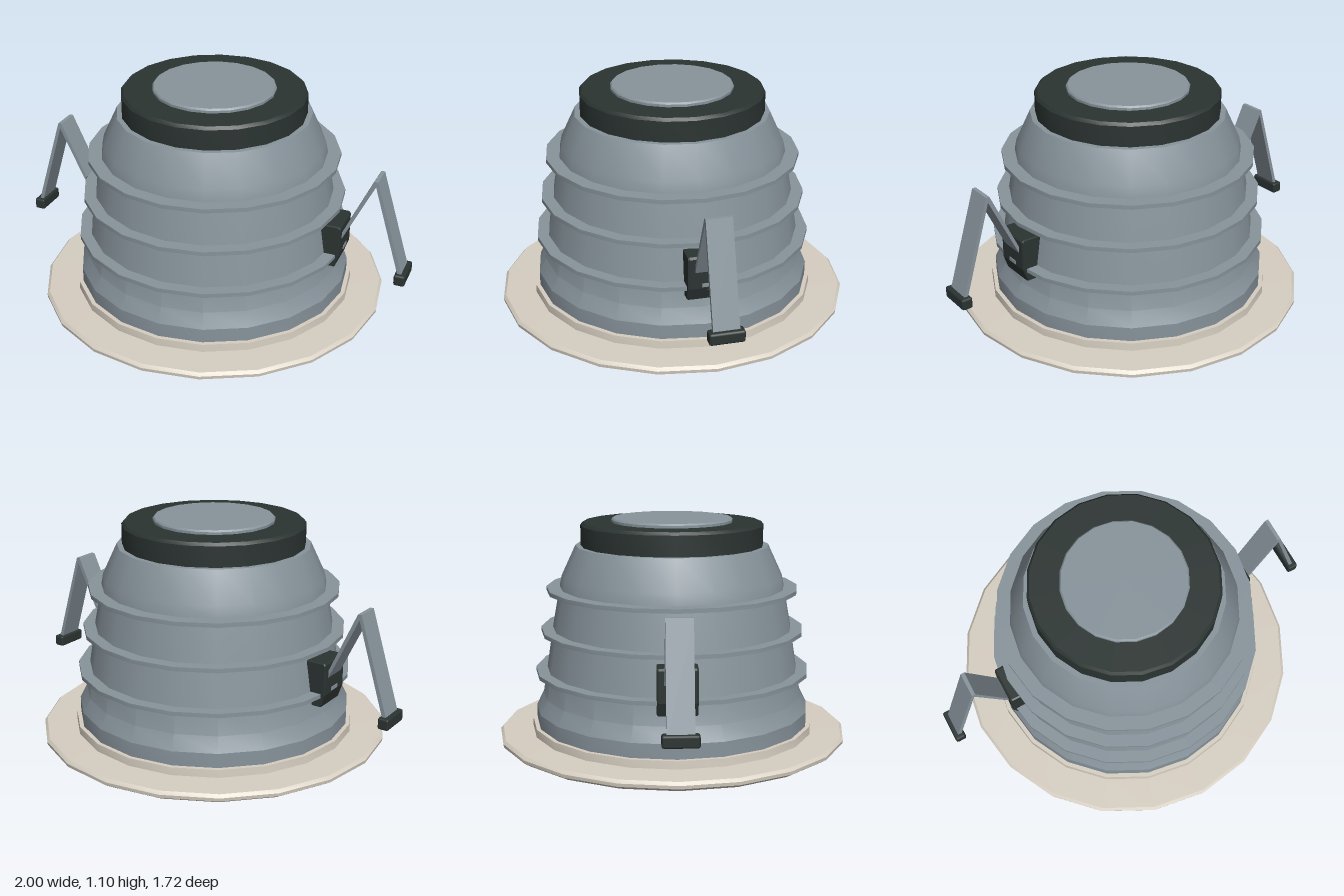
import * as THREE from 'three';
import { toCreasedNormals } from 'three/addons/utils/BufferGeometryUtils.js';
import { RoundedBoxGeometry } from 'three/addons/geometries/RoundedBoxGeometry.js';

const SIDES = 20;

function material(name, color) {
  const m = new THREE.MeshStandardMaterial({ color });
  m.name = name;
  return m;
}

export function createModel() {
  const grey = material('grey metal', 0x87939b);
  const dark = material('dark plastic', 0x2b3432);
  const cream = material('cream trim', 0xd6cec1);
  const amber = material('amber diffuser', 0xffca7a);

  const model = new THREE.Group();
  model.name = 'recessedDownlight';

  function add(parent, name, geometry, mat) {
    const mesh = new THREE.Mesh(geometry, mat);
    mesh.name = name;
    parent.add(mesh);
    return mesh;
  }

  // Round part from [radius, height] points, smooth around and sharp at profile bends
  function turned(name, profile, mat) {
    const points = profile.map(([r, y]) => new THREE.Vector2(r, y));
    const lathe = new THREE.LatheGeometry(points, SIDES);
    return add(model, name, toCreasedNormals(lathe, 0.4), mat);
  }

  // Ceiling trim with raised collar
  turned('trimRing', [
    [0.615, 0], [0.77, 0.003], [0.83, 0.012], [0.858, 0.03], [0.86, 0.046], [0.847, 0.06],
    [0.697, 0.062], [0.695, 0.1], [0.66, 0.1], [0.615, 0.05], [0.615, 0],
  ], cream);

  // Tapered housing
  turned('housing', [
    [0.675, 0.08], [0.675, 0.17], [0.64, 0.24], [0.62, 0.36],
    [0.587, 0.57], [0.55, 0.77], [0.54, 0.82], [0.47, 0.97], [0.38, 0.97],
  ], grey);

  // Cooling fins
  for (const [r, y] of [[0.675, 0.355], [0.645, 0.557], [0.615, 0.758]]) {
    turned('coolingFin', [
      [r - 0.1, y - 0.01], [r, y - 0.01], [r, y + 0.01], [r - 0.1, y + 0.01],
    ], grey);
  }

  // Top cap and its cover disc
  turned('topCap', [
    [0.38, 0.965], [0.445, 0.968], [0.445, 1.068], [0.433, 1.082], [0, 1.082],
  ], dark);
  turned('coverDisc', [[0.295, 1.08], [0.295, 1.094], [0.288, 1.102], [0, 1.102]], grey);

  // Stepped reflector and diffuser, seen from below
  turned('reflector', [
    [0.28, 0.42], [0.4, 0.295], [0.5, 0.17], [0.585, 0.035], [0.592, 0.008], [0.618, 0.002],
  ], dark);
  turned('diffuser', [[0, 0.418], [0.285, 0.418]], amber);

  // Spring strip outline, bent at the top
  const strip = new THREE.Shape([
    [0.64, 0.39], [0.655, 0.39], [0.825, 0.748], [0.965, 0.29], [0.985, 0.29],
    [0.834, 0.775], [0.816, 0.775],
  ].map(([x, y]) => new THREE.Vector2(x, y)));
  const stripGeometry = new THREE.ExtrudeGeometry(strip, { depth: 0.12, bevelEnabled: false });
  stripGeometry.translate(0, 0, -0.06);

  // Bracket side outline, drawn in at the foot
  const bracket = new THREE.Shape([
    [0.57, 0.3], [0.655, 0.3], [0.675, 0.36], [0.675, 0.505], [0.668, 0.512], [0.57, 0.512],
  ].map(([x, y]) => new THREE.Vector2(x, y)));
  const bracketGeometry = new THREE.ExtrudeGeometry(bracket, {
    depth: 0.168, bevelThickness: 0.008, bevelSize: 0.004, bevelSegments: 1,
  });
  bracketGeometry.translate(0, 0, -0.084);

  // Spring clips on both sides
  for (const [name, turn] of [['leftClip', 0], ['rightClip', Math.PI]]) {
    const clip = new THREE.Group();
    clip.name = name;
    clip.rotation.y = turn;
    model.add(clip);
    add(clip, 'bracket', bracketGeometry, dark);
    add(clip, 'springStrip', stripGeometry, grey);
    add(clip, 'springTip', new RoundedBoxGeometry(0.054, 0.056, 0.162, 1, 0.01), dark)
      .position.set(0.973, 0.286, 0);
    add(clip, 'bracketPin', new THREE.BoxGeometry(0.006, 0.018, 0.055), grey)
      .position.set(0.679, 0.375, 0);
  }

  return model;
}
